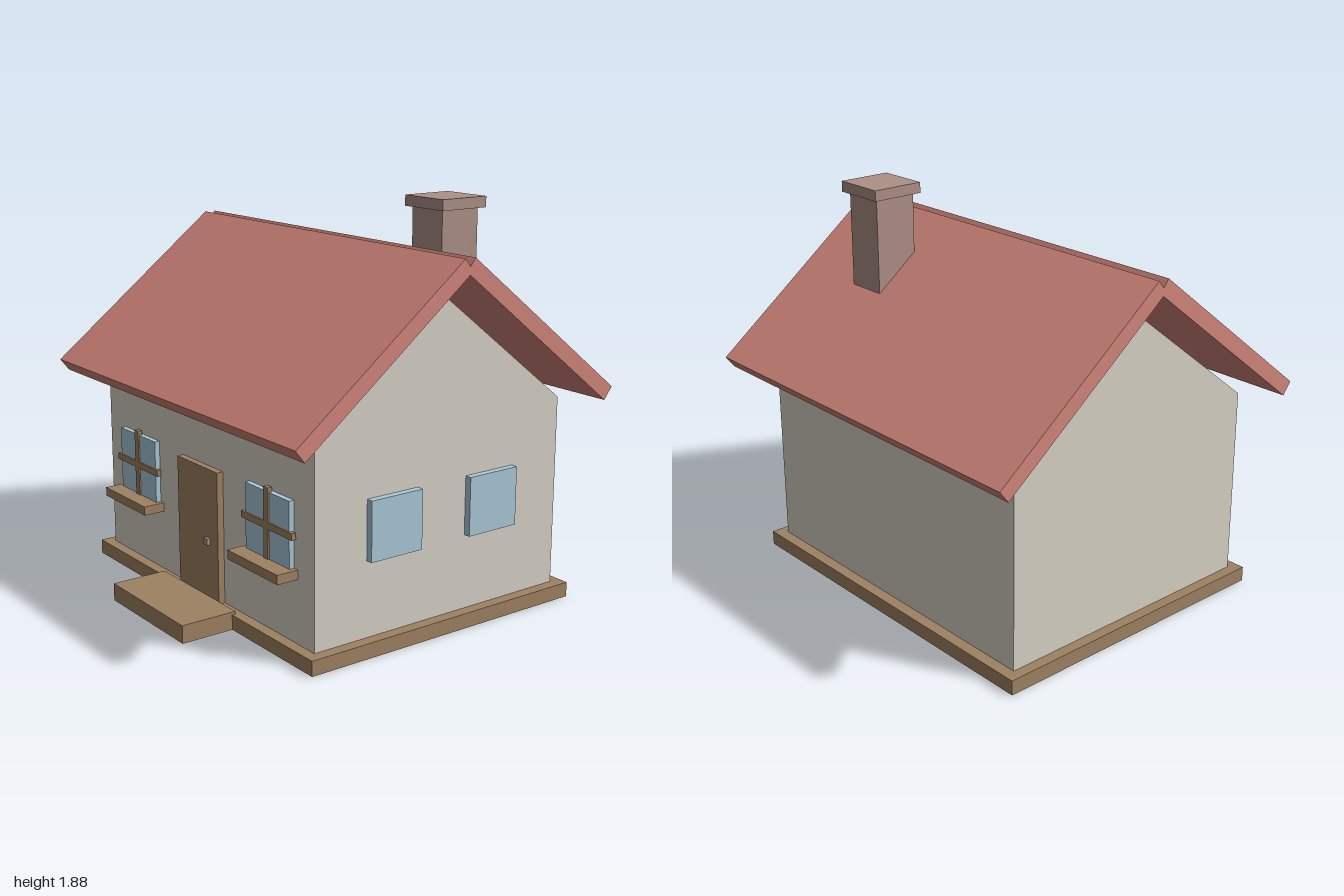
import * as THREE from 'three';

const material = (color) => new THREE.MeshStandardMaterial({ color, flatShading: true });

export function createModel() {
  const house = new THREE.Group();
  house.name = 'house';
  const wall = material(0xd8d2c6), wood = material(0x9e8262), glass = material(0xabc9d8);
  const tile = material(0xd2867b), brick = material(0xad9087);

  // Box given by its extents along each axis
  function box(name, mat, [x0, x1], [y0, y1], [z0, z1], parent = house) {
    const mesh = new THREE.Mesh(new THREE.BoxGeometry(x1 - x0, y1 - y0, z1 - z0), mat);
    mesh.position.set((x0 + x1) / 2, (y0 + y1) / 2, (z0 + z1) / 2);
    mesh.name = name;
    parent.add(mesh);
    return mesh;
  }

  const ridgeZ = -0.055, wallFront = 0.635, wallBack = -0.745;

  // Plinth and front step
  box('plinth', wood, [-0.912, 0.91], [0, 0.07], [-0.8, 0.687]);
  box('doorStep', wood, [-0.31, 0.307], [0, 0.084], [0.67, 0.945]);

  // Gabled walls: end profile extruded along x (shape x becomes -z)
  const gable = new THREE.Shape([
    [-wallFront, 0.01], [-wallBack, 0.01], [-wallBack, 0.97], [-ridgeZ, 1.505], [-wallFront, 0.97],
  ].map(([x, y]) => new THREE.Vector2(x, y)));
  const wallGeometry = new THREE.ExtrudeGeometry(gable, { depth: 1.715, bevelEnabled: false });
  wallGeometry.rotateY(Math.PI / 2).translate(-0.86, 0, 0);
  const walls = new THREE.Mesh(wallGeometry, wall);
  walls.name = 'walls';
  house.add(walls);

  // Two roof slabs mirrored about the ridge, leaving a small notch between them
  const pitch = Math.atan2(0.67, 0.86);
  for (const side of [1, -1]) {
    const slab = new THREE.Mesh(new THREE.BoxGeometry(2, 0.073, 1.09), tile);
    slab.name = side > 0 ? 'frontRoof' : 'backRoof';
    slab.position.set(0, 1.325, ridgeZ + side * 0.435);
    slab.rotation.x = side * pitch;
    house.add(slab);
  }

  // Chimney
  box('chimney', brick, [0.38, 0.583], [1.0, 1.83], [-0.47, -0.262]);
  box('chimneyCap', brick, [0.353, 0.61], [1.83, 1.88], [-0.495, -0.24]);

  // Door with a square knob
  box('door', wood, [-0.17, 0.167], [0.07, 0.692], [0.61, 0.667]);
  box('doorKnob', brick, [0.068, 0.1], [0.334, 0.366], [0.66, 0.682]);

  // Front windows with crossed bars and a deep sill
  for (const x of [-0.5525, 0.5475]) {
    const frontWindow = new THREE.Group();
    frontWindow.name = x > 0 ? 'frontWindowLeft' : 'frontWindowRight';
    frontWindow.position.x = x;
    house.add(frontWindow);
    box('pane', glass, [-0.164, 0.164], [0.405, 0.705], [0.61, 0.66], frontWindow);
    box('uprightBar', wood, [-0.017, 0.017], [0.4, 0.726], [0.645, 0.667], frontWindow);
    box('crossBar', wood, [-0.19, 0.19], [0.54, 0.571], [0.645, 0.666], frontWindow);
    box('sill', wood, [-0.19, 0.19], [0.362, 0.405], [0.62, 0.74], frontWindow);
  }

  // Plain windows on the left wall
  for (const z of [0.222, -0.33]) {
    box('sideWindow', glass, [0.83, 0.888], [0.42, 0.694], [z - 0.139, z + 0.139]);
  }

  return house;
}
